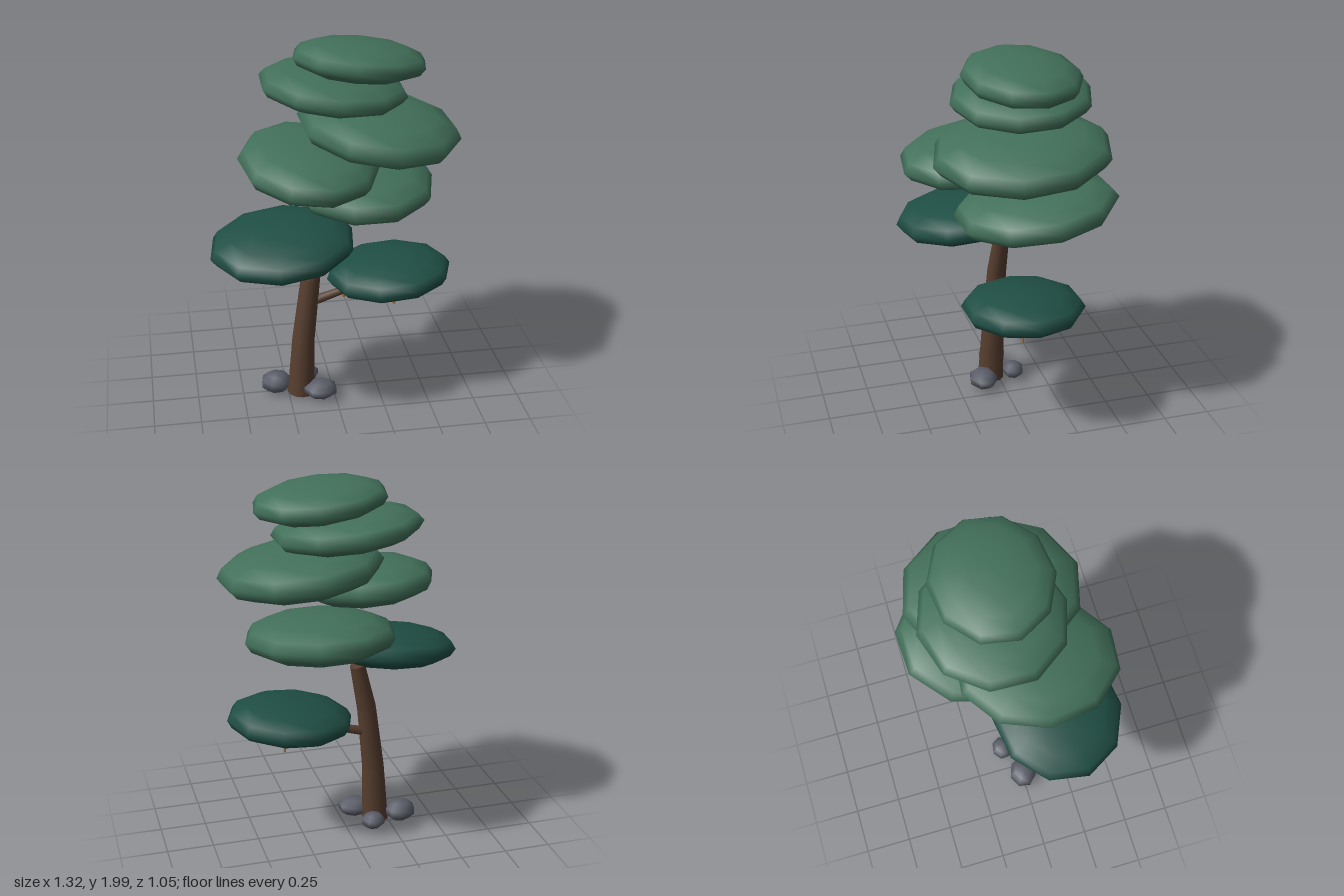
import * as THREE from 'three';

const mat = (name, color) => {
  const m = new THREE.MeshStandardMaterial({ color });
  m.name = name;
  return m;
};

export function createModel() {
  const tree = new THREE.Group();
  tree.name = 'tree';

  const lightLeaf = mat('lightLeafGreen', 0x42705a);
  const darkLeaf = mat('darkLeafGreen', 0x1f4e44);
  const bark = mat('barkBrown', 0x573e2f);
  const stone = mat('stoneGrey', 0x5a5d68);
  const wood = mat('hangingWood', 0xa8774a);

  const add = (name, geometry, material, parent = tree) => {
    const mesh = new THREE.Mesh(geometry, material);
    mesh.name = name;
    parent.add(mesh);
    return mesh;
  };

  // Low-sided ellipsoid with exact half sizes; turn spins its facets
  const blob = (name, material, [w, h], pos, half, turn, tiltX = 0, tiltZ = 0) => {
    const g = new THREE.SphereGeometry(1, w, h).rotateY(turn);
    g.computeBoundingBox();
    const m = g.boundingBox.max;
    g.scale(half[0] / m.x, half[1] / m.y, half[2] / m.z);
    const mesh = add(name, g, material);
    mesh.position.set(...pos);
    mesh.rotation.set(tiltX, 0, tiltZ);
  };

  // Tapered round limb between two points
  const limb = (name, material, a, b, r0, r1, sides, parent = tree) => {
    const p = new THREE.Vector3(...a), q = new THREE.Vector3(...b);
    const dir = q.clone().sub(p);
    const mesh = add(name, new THREE.CylinderGeometry(r1, r0, dir.length(), sides), material, parent);
    mesh.position.copy(p).add(q).multiplyScalar(0.5);
    mesh.quaternion.setFromUnitVectors(new THREE.Vector3(0, 1, 0), dir.normalize());
  };

  // Foliage pads, bottom to top: material, centre, half sizes, facet turn, tilts
  const pads = [
    [darkLeaf, [0.31, 0.71, 0], [0.34, 0.105, 0.305], 0, 0, 0.075],
    [darkLeaf, [-0.29, 1.0, 0.185], [0.375, 0.112, 0.345], -0.44, 0.11, 0.075],
    [lightLeaf, [0.17, 1.205, -0.11], [0.395, 0.126, 0.415], 0.04, 0.12, -0.01],
    [lightLeaf, [-0.14, 1.41, 0.115], [0.36, 0.12, 0.415], -0.1, 0.11, -0.07],
    [lightLeaf, [0.245, 1.54, -0.01], [0.415, 0.13, 0.46], -0.25, 0.06, -0.11],
    [lightLeaf, [0.015, 1.75, -0.07], [0.375, 0.105, 0.37], -0.33, 0.05, -0.1],
    [lightLeaf, [0.145, 1.895, -0.035], [0.35, 0.1, 0.3], 0.14, -0.02, -0.095],
  ];
  pads.forEach(([m, ...rest], i) => blob(`foliagePad${i + 1}`, m, [10, 8], ...rest));

  // Leaning trunk in three tapered sections
  const trunk = [
    [-0.183, 0.02, 0.043, 0.074],
    [-0.165, 0.35, 0.034, 0.062],
    [-0.122, 0.71, 0.022, 0.053],
    [-0.065, 0.97, 0.006, 0.041],
  ];
  for (let i = 0; i < 3; i++) {
    const a = trunk[i], b = trunk[i + 1];
    limb(`trunkSection${i + 1}`, bark, a.slice(0, 3), b.slice(0, 3), a[3], b[3], 12);
  }

  // Side branch under the lowest pad
  limb('branch', bark, [-0.13, 0.565, 0.025], [0.18, 0.655, 0.01], 0.028, 0.018, 8);

  // Row of little wooden tags on strings
  const tags = new THREE.Group();
  tags.name = 'hangingTags';
  tree.add(tags);
  for (let i = 0; i < 5; i++) {
    const x = 0.06 + i * 0.07, y = 0.575 - i * 0.016;
    limb('tag', wood, [x, y, 0.01], [x, y + 0.045, 0.01], 0.008, 0.008, 6, tags);
    limb('string', bark, [x, y + 0.04, 0.01], [x, 0.65, 0.01], 0.002, 0.002, 4, tags);
  }

  // Stones around the foot
  blob('leftStone', stone, [7, 5], [-0.315, 0.068, 0.0], [0.085, 0.06, 0.07], 0.3);
  blob('frontStone', stone, [7, 5], [-0.082, 0.068, 0.115], [0.082, 0.052, 0.075], 0.9);
  blob('backStone', stone, [7, 5], [-0.135, 0.066, -0.075], [0.065, 0.046, 0.058], 0.5);

  return tree;
}
